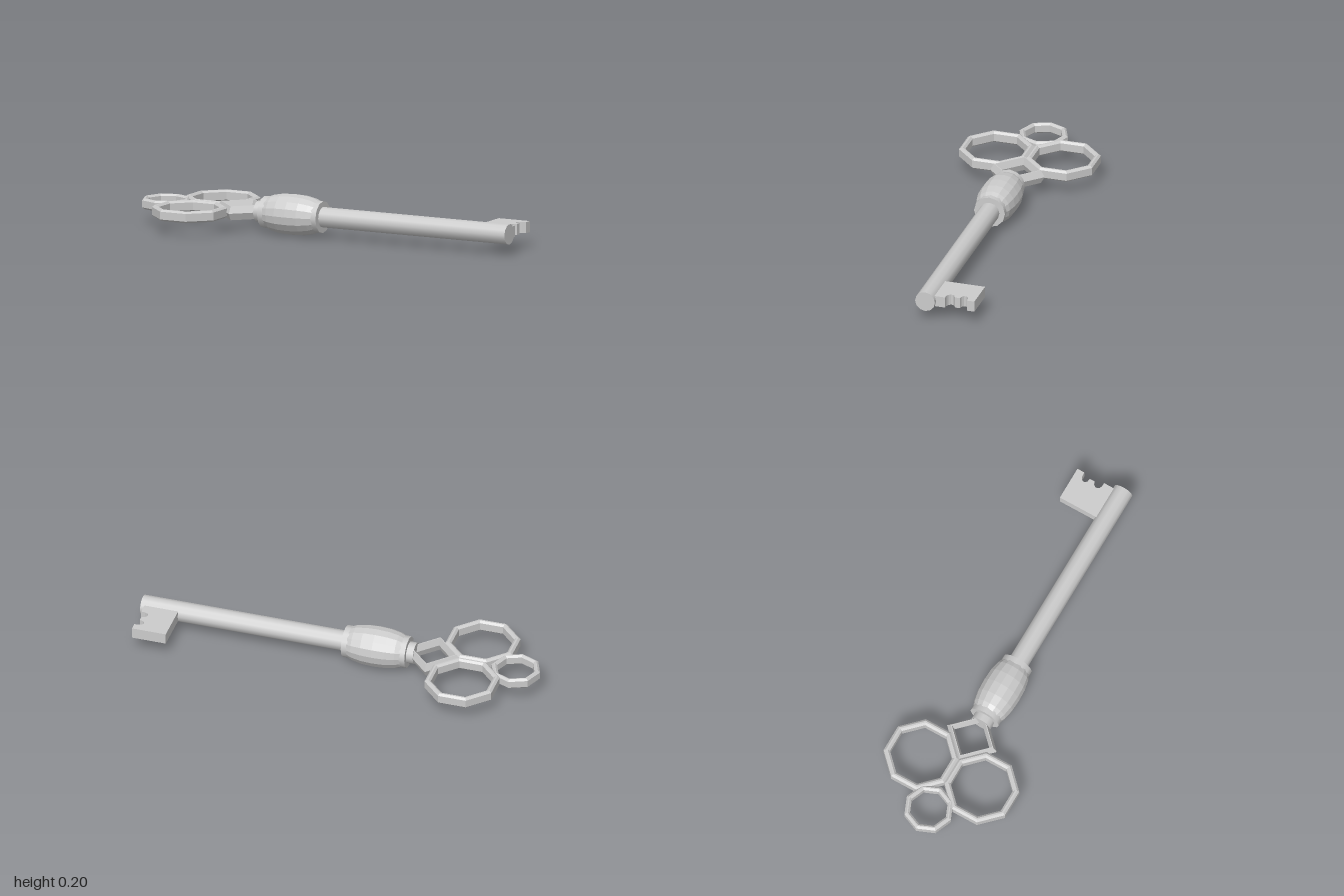
import * as THREE from 'three';

const AXIS_Y = 0.102; // height of the key's centre line

export function createModel() {
  const key = new THREE.Group();
  key.name = 'key';
  const smooth = new THREE.MeshStandardMaterial({ color: 0xcccccc });
  const faceted = new THREE.MeshStandardMaterial({ color: 0xcccccc, flatShading: true });

  function add(name, geometry, material, x = 0, z = 0) {
    const mesh = new THREE.Mesh(geometry, material);
    mesh.name = name;
    mesh.position.set(x, AXIS_Y, z);
    key.add(mesh);
  }

  // Flat-lying polygonal ring swept from a closed [radius, height] section
  function ring(name, section, sides, turn, x, z) {
    const pts = [...section, section[0]].map(([r, h]) => new THREE.Vector2(r, h));
    add(name, new THREE.LatheGeometry(pts, sides, turn), faceted, x, z);
  }

  // Chamfered bar section, outer side going up and inner side going down
  function barSection(outer, inner, h) {
    const c = 0.011, e = 0.009;
    return [
      [outer - c, -h], [outer, -h + e], [outer, h - e], [outer - c, h],
      [inner + c, h], [inner, h - e], [inner, -h + e], [inner + c, -h],
    ];
  }

  // Cylinder lying along x between two positions
  function rod(name, x0, x1, radius, sides) {
    const geometry = new THREE.CylinderGeometry(radius, radius, x1 - x0, sides);
    geometry.rotateZ(-Math.PI / 2);
    add(name, geometry, smooth, (x0 + x1) / 2);
  }

  // Bow: two large rings, one small end ring and a square link
  for (const [name, side] of [['leftBowRing', -1], ['rightBowRing', 1]]) {
    ring(name, barSection(0.182, 0.151, 0.028), 8, Math.PI / 8, -0.66, side * 0.168);
  }
  ring('endBowRing', barSection(0.122, 0.094, 0.026), 8, 0, -0.878, 0);
  ring('squareLink', [
    [0.118, -0.034], [0.138, 0], [0.118, 0.034],
    [0.112, 0.034], [0.096, 0], [0.112, -0.034],
  ], 4, 0, -0.462, 0);

  // Stem, collar and shaft
  rod('bowStem', -0.375, -0.3, 0.053, 12);
  rod('collar', -0.34, -0.02, 0.078, 12);
  rod('shaft', -0.06, 1, 0.05, 12);

  // Faceted barrel bulging over the collar
  const barrelProfile = [
    [0, -0.145], [0.072, -0.145], [0.087, -0.11], [0.097, -0.06], [0.1, 0],
    [0.097, 0.06], [0.087, 0.11], [0.072, 0.145], [0, 0.145],
  ].map(([r, x]) => new THREE.Vector2(r, x));
  const barrel = new THREE.LatheGeometry(barrelProfile, 16);
  barrel.rotateZ(-Math.PI / 2);
  add('barrel', barrel, faceted, -0.18);

  // Bit: plate with two curved notches; shape y runs towards the back
  const bit = new THREE.Shape();
  bit.moveTo(0.81, 0.02);
  bit.lineTo(0.98, 0.02);
  bit.lineTo(0.98, 0.095);
  bit.bezierCurveTo(0.935, 0.09, 0.925, 0.13, 0.965, 0.14);
  bit.lineTo(0.965, 0.165);
  bit.bezierCurveTo(0.925, 0.165, 0.925, 0.21, 0.98, 0.205);
  bit.lineTo(0.98, 0.243);
  bit.lineTo(0.81, 0.243);
  bit.closePath();
  const plate = new THREE.ExtrudeGeometry(bit, { depth: 0.054, bevelEnabled: false, curveSegments: 6 });
  plate.translate(0, 0, -0.027);
  plate.rotateX(-Math.PI / 2);
  add('bit', plate, smooth);

  return key;
}
